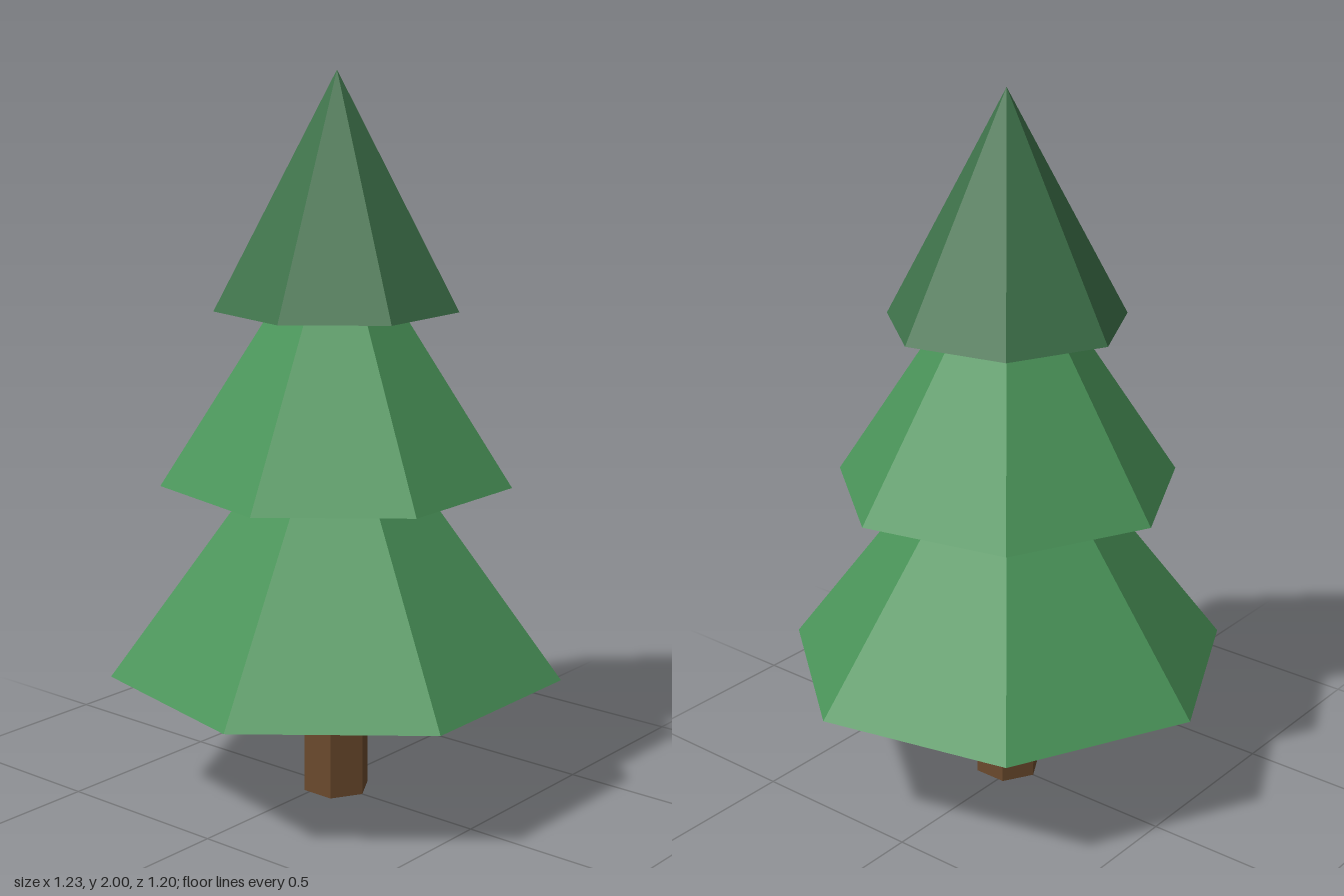
import * as THREE from 'three';

function paint(name, color) {
  const material = new THREE.MeshStandardMaterial({ color, flatShading: true });
  material.name = name;
  return material;
}

export function createModel() {
  const tree = new THREE.Group();
  tree.name = 'pineTree';
  const bark = paint('bark brown', 0x6b4a2d);
  const leaf = paint('leaf green', 0x4a9459);
  const darkLeaf = paint('dark leaf green', 0x3e724a);
  const axisZ = 0.03; // the seven-sided tiers reach further to the back than the front

  function add(name, geometry, material, bottom, height) {
    const mesh = new THREE.Mesh(geometry, material);
    mesh.name = name;
    mesh.position.set(0, bottom + height / 2, axisZ);
    tree.add(mesh);
  }

  // Six-sided trunk, with its top just inside the lowest tier
  add('trunk', new THREE.CylinderGeometry(0.095, 0.095, 0.42, 6), bark, 0, 0.42);

  // Foliage tiers: seven-sided cones with a corner at the back
  const tiers = [
    ['lowerFoliage', 0.63, 0.37, 0.84, leaf],
    ['middleFoliage', 0.485, 0.9, 0.745, leaf],
    ['topFoliage', 0.335, 1.37, 0.63, darkLeaf],
  ];
  for (const [name, radius, bottom, height, material] of tiers) {
    add(name, new THREE.ConeGeometry(radius, height, 7, 1, false, Math.PI), material, bottom, height);
  }
  return tree;
}
